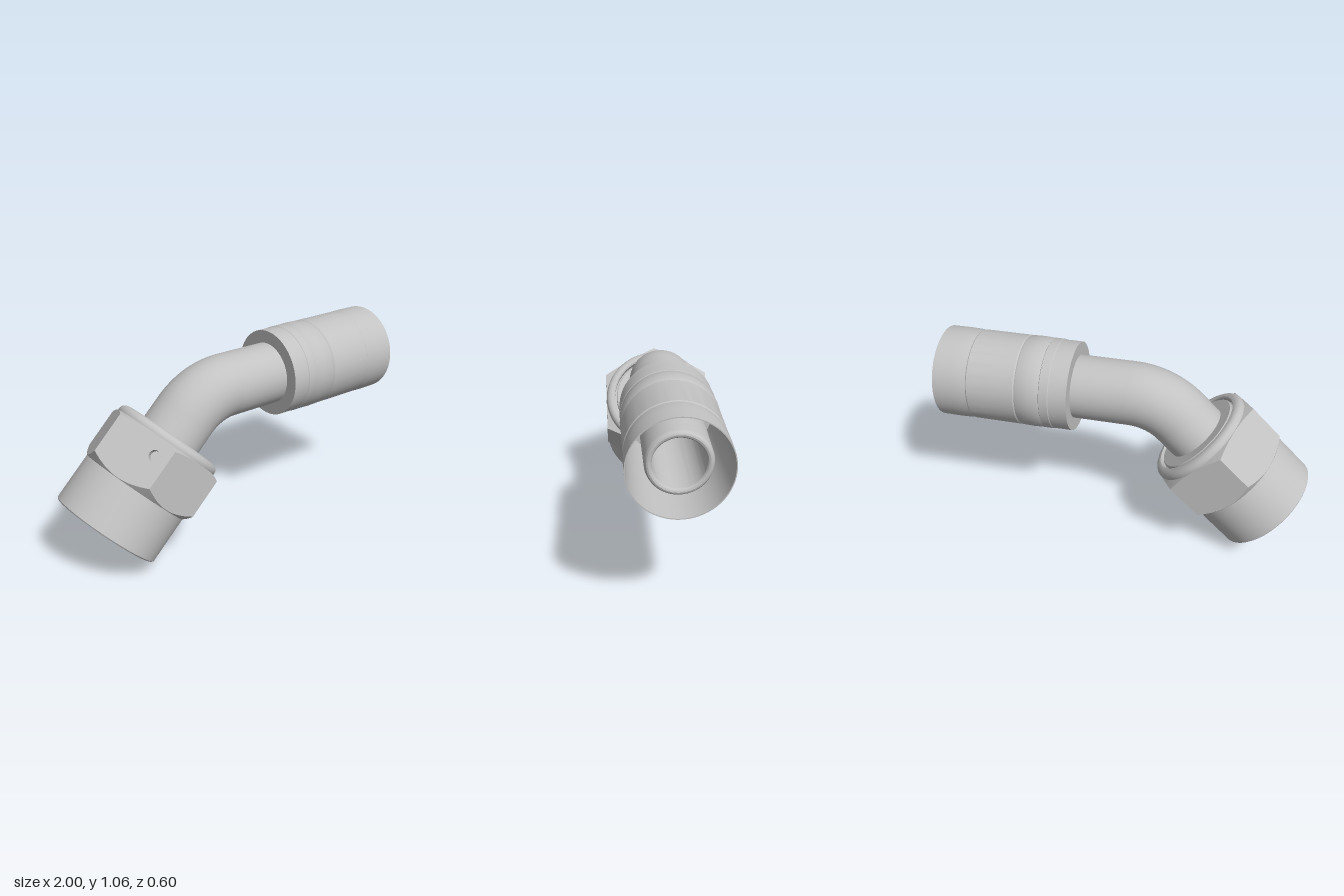
import * as THREE from 'three';
import { toCreasedNormals } from 'three/addons/utils/BufferGeometryUtils.js';

const steel = new THREE.MeshStandardMaterial({ color: 0xc2c2c2, side: THREE.DoubleSide });
steel.name = 'steel';

const TUBE_R = 0.17, BORE_R = 0.12, BEND_R = 0.37, AXIS_Y = 0.825, BEND_X = -0.022;
const FLAT = 0.3, HALF = FLAT * Math.tan(Math.PI / 6);

function add(parent, name, geometry) {
  const mesh = new THREE.Mesh(geometry, steel);
  mesh.name = name;
  parent.add(mesh);
  return mesh;
}

// Revolved part from [radius, distance along axis] pairs
function turned(parent, name, pairs, segments = 72) {
  const g = new THREE.LatheGeometry(pairs.map(([r, y]) => new THREE.Vector2(r, y)), segments);
  return add(parent, name, toCreasedNormals(g, 0.5));
}

// Chamfer outlines of one hexagon side, u measured across the side
const lowEdge = u => 0.265 + (Math.hypot(FLAT, u) - 0.297) * 0.92;
const topEdge = u => 0.545 - (Math.hypot(FLAT, u) - 0.3) * 0.43;

// Conical strip between a hexagon side and a circle of radius r at height s
function chamfer(edge, r, s, circleBelow) {
  const g = new THREE.PlaneGeometry(2 * HALF, 1, 16, 1);
  const p = g.attributes.position;
  for (let i = 0; i < p.count; i++) {
    const u = p.getX(i), a = Math.atan2(u, FLAT);
    if ((p.getY(i) < 0) === circleBelow) p.setXYZ(i, r * Math.sin(a), s, r * Math.cos(a));
    else p.setXYZ(i, u, edge(u), FLAT);
  }
  g.computeVertexNormals();
  return g;
}

function hexSide(withHole) {
  const side = new THREE.Group();
  side.name = 'hexSide';
  const low = [], top = [];
  for (let i = 0; i <= 16; i++) {
    const u = -HALF + (2 * HALF * i) / 16;
    low.push(new THREE.Vector2(u, lowEdge(u)));
    top.unshift(new THREE.Vector2(u, topEdge(u)));
  }
  const shape = new THREE.Shape([...low, ...top]);
  if (withHole) {
    // Small drilled pin hole
    const hole = new THREE.Path();
    hole.absarc(0.098, 0.453, 0.03, 0, Math.PI * 2, true);
    shape.holes.push(hole);
    const pin = turned(side, 'pinHole', [[0, -0.03], [0.03, -0.03], [0.03, 0]], 24);
    pin.rotation.x = Math.PI / 2;
    pin.position.set(0.098, 0.453, FLAT);
  }
  add(side, 'hexFlat', new THREE.ShapeGeometry(shape, 12).translate(0, 0, FLAT));
  add(side, 'lowerChamfer', chamfer(lowEdge, 0.297, 0.265, true));
  add(side, 'upperChamfer', chamfer(topEdge, 0.298, 0.545, false));
  return side;
}

export function createModel() {
  const model = new THREE.Group();
  model.name = 'angledHoseFitting';

  // Swivel nut, axis tilted 45 degrees
  const nut = new THREE.Group();
  nut.name = 'swivelNut';
  nut.position.set(-0.79, 0.21, 0);
  nut.rotation.z = -Math.PI / 4;
  model.add(nut);
  for (let k = 0; k < 6; k++) {
    const side = hexSide(k === 5);
    side.rotation.y = (k * Math.PI) / 3;
    nut.add(side);
  }
  turned(nut, 'nutSkirt', [
    [0.2, 0.4], [0.25, 0.36], [0.25, 0.04], [0.275, 0], [0.291, 0], [0.297, 0.006], [0.297, 0.266],
  ]);
  turned(nut, 'nutCollar', [
    [0.298, 0.544], [0.3, 0.552], [0.298, 0.566], [0.291, 0.577], [0.28, 0.585],
    [0.268, 0.588], [0.256, 0.588], [0.25, 0.582], [0.25, 0.555], [0.24, 0.555],
  ]);
  turned(nut, 'retainingShoulder', [[0.24, 0.55], [0.24, 0.58], [0.235, 0.585], [TUBE_R, 0.585]]);

  // Seat inside the nut and the lower straight leg of the tube
  turned(nut, 'tubeSeat', [
    [BORE_R, 0.717], [BORE_R, 0.2], [0.15, 0.2], [0.215, 0.33], [0.215, 0.42], [TUBE_R, 0.45], [TUBE_R, 0.717],
  ]);

  // Bend, outer wall and bore
  for (const [name, r] of [['tubeBend', TUBE_R], ['boreBend', BORE_R]]) {
    const bend = add(model, name, new THREE.TorusGeometry(BEND_R, r, 72, 32, Math.PI / 4));
    bend.position.set(BEND_X, AXIS_Y - BEND_R, 0);
    bend.rotation.z = Math.PI / 2;
  }

  // Horizontal hose end, turned about the x axis
  const hoseEnd = new THREE.Group();
  hoseEnd.name = 'hoseEnd';
  hoseEnd.position.y = AXIS_Y;
  hoseEnd.rotation.z = -Math.PI / 2;
  model.add(hoseEnd);
  turned(hoseEnd, 'straightTube', [[TUBE_R, BEND_X], [TUBE_R, 0.28]]);
  turned(hoseEnd, 'nipple', [
    [0.155, 0.33], [0.155, 0.925], [0.152, 0.938], [0.145, 0.947], [0.137, 0.95],
    [0.128, 0.947], [0.122, 0.94], [BORE_R, 0.93], [BORE_R, BEND_X],
  ]);

  // Crimped sleeve with shallow grooves and a hollow mouth
  turned(hoseEnd, 'crimpSleeve', [
    [TUBE_R, 0.272], [0.239, 0.272], [0.239, 0.368], [0.242, 0.372], [0.242, 0.418],
    [0.238, 0.421], [0.242, 0.43], [0.244, 0.48], [0.242, 0.545], [0.238, 0.552],
    [0.242, 0.559], [0.242, 0.812], [0.238, 0.818], [0.242, 0.84], [0.244, 0.9],
    [0.243, 1], [0.238, 1], [0.218, 0.37], [0.15, 0.37],
  ]);
  return model;
}
